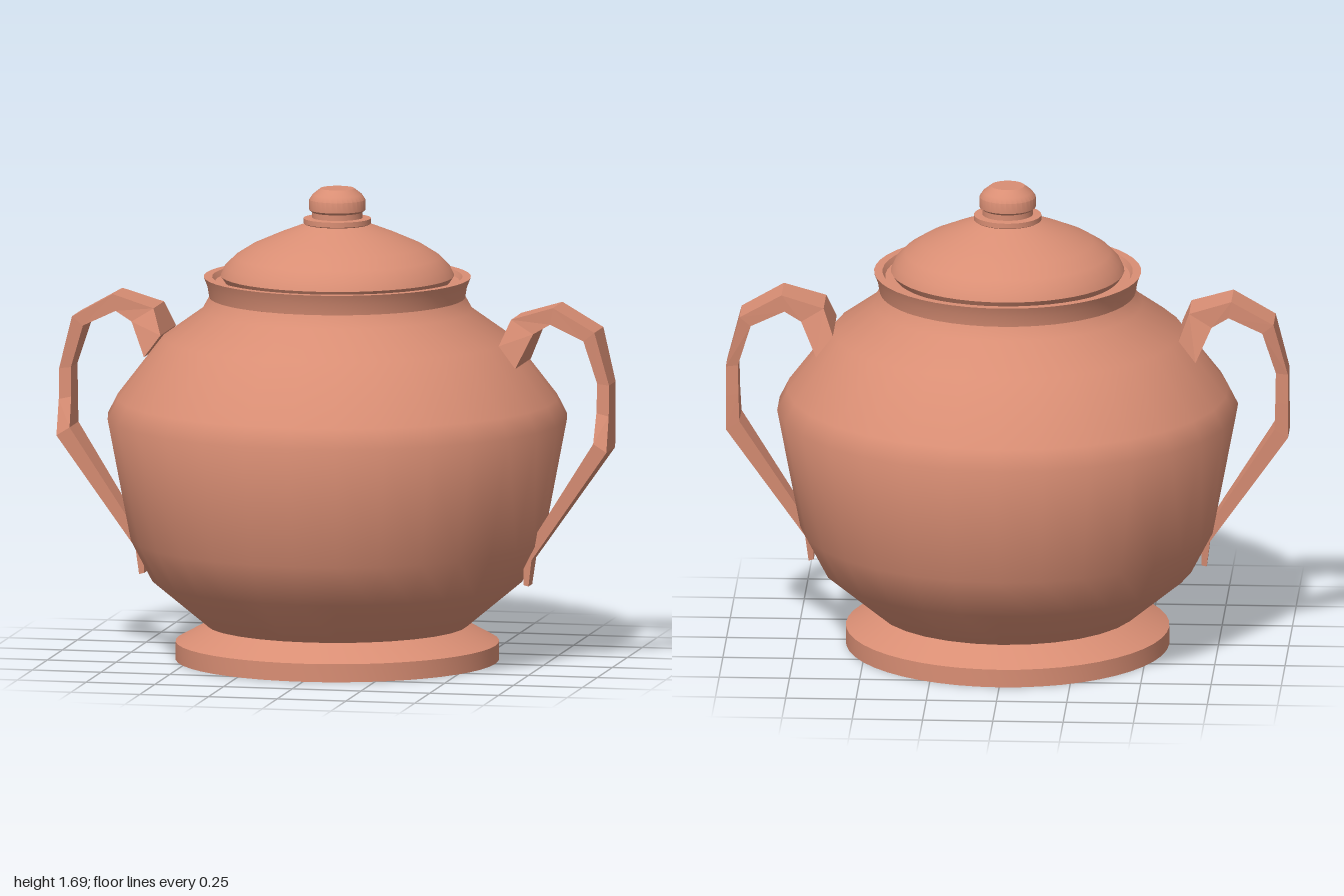
import * as THREE from 'three';
import { toCreasedNormals } from 'three/addons/utils/BufferGeometryUtils.js';

const clay = new THREE.MeshStandardMaterial({ color: 0xd98e74, side: THREE.DoubleSide });
const clayFlat = clay.clone();
clayFlat.flatShading = true;

// Turned part from a [radius, height] profile, listed bottom to top
function turned(name, profile, segments, crease = 0.6) {
  const points = profile.map(([r, y]) => new THREE.Vector2(r, y));
  const mesh = new THREE.Mesh(toCreasedNormals(new THREE.LatheGeometry(points, segments), crease), clay);
  mesh.name = name;
  return mesh;
}

// Handle stations: outer x, y, inner x, y, back z, front z
const stations = [
  [0.615, 1.16, 0.675, 1.08, -0.13, 0.13],
  [0.65, 1.25, 0.73, 1.2, -0.09, 0.085],
  [0.8, 1.295, 0.79, 1.235, -0.085, 0.075],
  [0.95, 1.21, 0.91, 1.178, -0.08, 0.07],
  [1.0, 1.02, 0.957, 1.025, -0.055, 0.055],
  [1.0, 0.91, 0.955, 0.92, -0.053, 0.06],
  [1.0, 0.785, 0.952, 0.815, -0.048, 0.1],
  [0.72, 0.385, 0.69, 0.405, -0.015, 0.065],
  [0.708, 0.29, 0.69, 0.295, -0.003, 0.06],
];

// Four-sided strap lofted through the stations
function handle(side) {
  const positions = [], index = [];
  for (const [ox, oy, ix, iy, zb, zf] of stations) {
    positions.push(side * ox, oy, zb, side * ox, oy, zf, side * ix, iy, zf, side * ix, iy, zb);
  }
  const quad = (a, b, c, d) => {
    if (side > 0) index.push(a, b, c, a, c, d);
    else index.push(a, c, b, a, d, c);
  };
  const last = (stations.length - 1) * 4;
  for (let s = 0; s < last; s += 4) {
    for (let k = 0; k < 4; k++) {
      const n = (k + 1) % 4;
      quad(s + k, s + n, s + 4 + n, s + 4 + k);
    }
  }
  quad(3, 2, 1, 0);
  quad(last, last + 1, last + 2, last + 3);
  // Wind every face outward
  for (let i = 0; i < index.length; i += 3) {
    [index[i + 1], index[i + 2]] = [index[i + 2], index[i + 1]];
  }
  const geometry = new THREE.BufferGeometry();
  geometry.setAttribute('position', new THREE.Float32BufferAttribute(positions, 3));
  geometry.setIndex(index);
  geometry.computeVertexNormals();
  const mesh = new THREE.Mesh(geometry, clayFlat);
  mesh.name = side > 0 ? 'leftHandle' : 'rightHandle';
  return mesh;
}

export function createModel() {
  const model = new THREE.Group();
  model.name = 'lidded pot';

  // Foot ring with a closed base
  model.add(turned('foot', [[0, 0], [0.575, 0], [0.575, 0.065], [0.465, 0.125]], 48));

  // Rounded belly
  model.add(turned('body', [
    [0.465, 0.125], [0.66, 0.287], [0.737, 0.435], [0.82, 0.87], [0.785, 0.94],
    [0.62, 1.155], [0.48, 1.255], [0.455, 1.3],
  ], 30, 1.2));

  // Flared collar with a shallow inner step
  model.add(turned('collar', [
    [0.455, 1.3], [0.462, 1.34], [0.475, 1.373], [0.445, 1.373], [0.435, 1.355], [0.4, 1.355],
  ], 48));

  // Domed lid
  model.add(turned('lid', [
    [0.4, 1.355], [0.415, 1.378], [0.4, 1.41], [0.365, 1.445], [0.305, 1.483], [0.21, 1.525], [0.115, 1.562],
  ], 48, 0.9));

  // Knob on its small disc
  model.add(turned('knobDisc', [[0.1, 1.562], [0.12, 1.565], [0.12, 1.583], [0.09, 1.585]], 32));
  model.add(turned('knob', [
    [0.09, 1.58], [0.09, 1.605], [0.1, 1.613], [0.1, 1.65], [0.088, 1.668], [0.06, 1.69], [0, 1.69],
  ], 32));

  // Pair of strap handles
  for (const side of [1, -1]) model.add(handle(side));
  return model;
}
